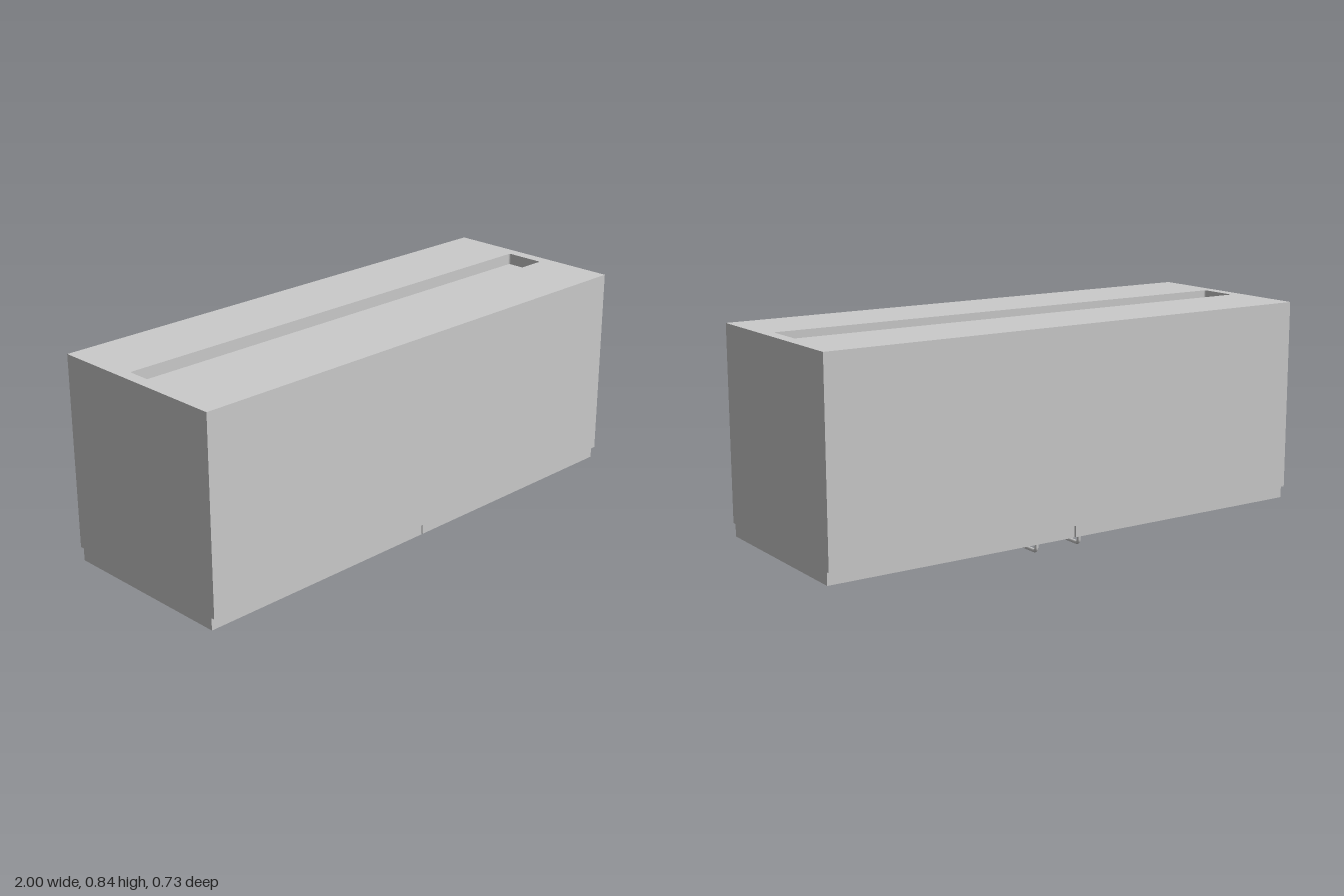
import * as THREE from 'three';

const TOP = 0.842, BODY_BOTTOM = 0.116, DOOR_BOTTOM = 0.069;

// Rectangle with slightly rounded corners, centred on the origin
function roundedRect(target, hw, hh, r) {
  target.absarc(hw - r, hh - r, r, 0, Math.PI / 2);
  target.absarc(-hw + r, hh - r, r, Math.PI / 2, Math.PI);
  target.absarc(-hw + r, -hh + r, r, Math.PI, Math.PI * 1.5);
  target.absarc(hw - r, -hh + r, r, Math.PI * 1.5, Math.PI * 2);
  target.closePath();
  return target;
}

// Extrude a plan outline upwards from y0 to y1
function prism(shape, y0, y1) {
  const g = new THREE.ExtrudeGeometry(shape, { depth: y1 - y0, bevelEnabled: false, curveSegments: 4 });
  return g.rotateX(-Math.PI / 2).translate(0, y0, 0);
}

export function createModel() {
  const group = new THREE.Group();
  const material = new THREE.MeshStandardMaterial({ color: 0xcccccc });
  const add = (name, geometry) => {
    const mesh = new THREE.Mesh(geometry, material);
    mesh.name = name;
    group.add(mesh);
    return mesh;
  };

  // Cabinet body with a long slot in its upper face
  const outline = new THREE.Shape([
    new THREE.Vector2(-1, -0.364), new THREE.Vector2(1, -0.364),
    new THREE.Vector2(1, 0.364), new THREE.Vector2(-1, 0.364),
  ]);
  outline.holes.push(roundedRect(new THREE.Path(), 0.955, 0.078, 0.008));
  add('cabinetBody', prism(outline, BODY_BOTTOM, TOP));

  // Floor of the slot
  const floor = roundedRect(new THREE.Shape(), 0.955, 0.078, 0.008);
  add('slotFloor', prism(floor, BODY_BOTTOM, TOP - 0.043));

  // Bent bar handle, with its ends just inside the door
  const yBar = 0.007, zA = -0.05, zB = -0.242, bend = 0.015, yEnd = DOOR_BOTTOM + 0.005;
  const v = (y, z) => new THREE.Vector3(0, y, z);
  const path = new THREE.CurvePath();
  path.add(new THREE.LineCurve3(v(yEnd, zA), v(yBar + bend, zA)));
  path.add(new THREE.QuadraticBezierCurve3(v(yBar + bend, zA), v(yBar, zA), v(yBar, zA - bend)));
  path.add(new THREE.LineCurve3(v(yBar, zA - bend), v(yBar, zB + bend)));
  path.add(new THREE.QuadraticBezierCurve3(v(yBar, zB + bend), v(yBar, zB), v(yBar + bend, zB)));
  path.add(new THREE.LineCurve3(v(yBar + bend, zB), v(yEnd, zB)));
  const handleGeometry = new THREE.TubeGeometry(path, 96, 0.007, 16);

  // Pair of doors on the underside, each with a handle near the middle gap
  const gap = 0.003, doorWidth = 0.999 - gap;
  for (const [side, s] of [['left', 1], ['right', -1]]) {
    const door = add(side + 'Door', new THREE.BoxGeometry(doorWidth, BODY_BOTTOM - DOOR_BOTTOM, 0.698));
    door.position.set(s * (gap + doorWidth / 2), (BODY_BOTTOM + DOOR_BOTTOM) / 2, 0);
    add(side + 'Handle', handleGeometry).position.x = s * 0.095;
  }

  return group;
}
